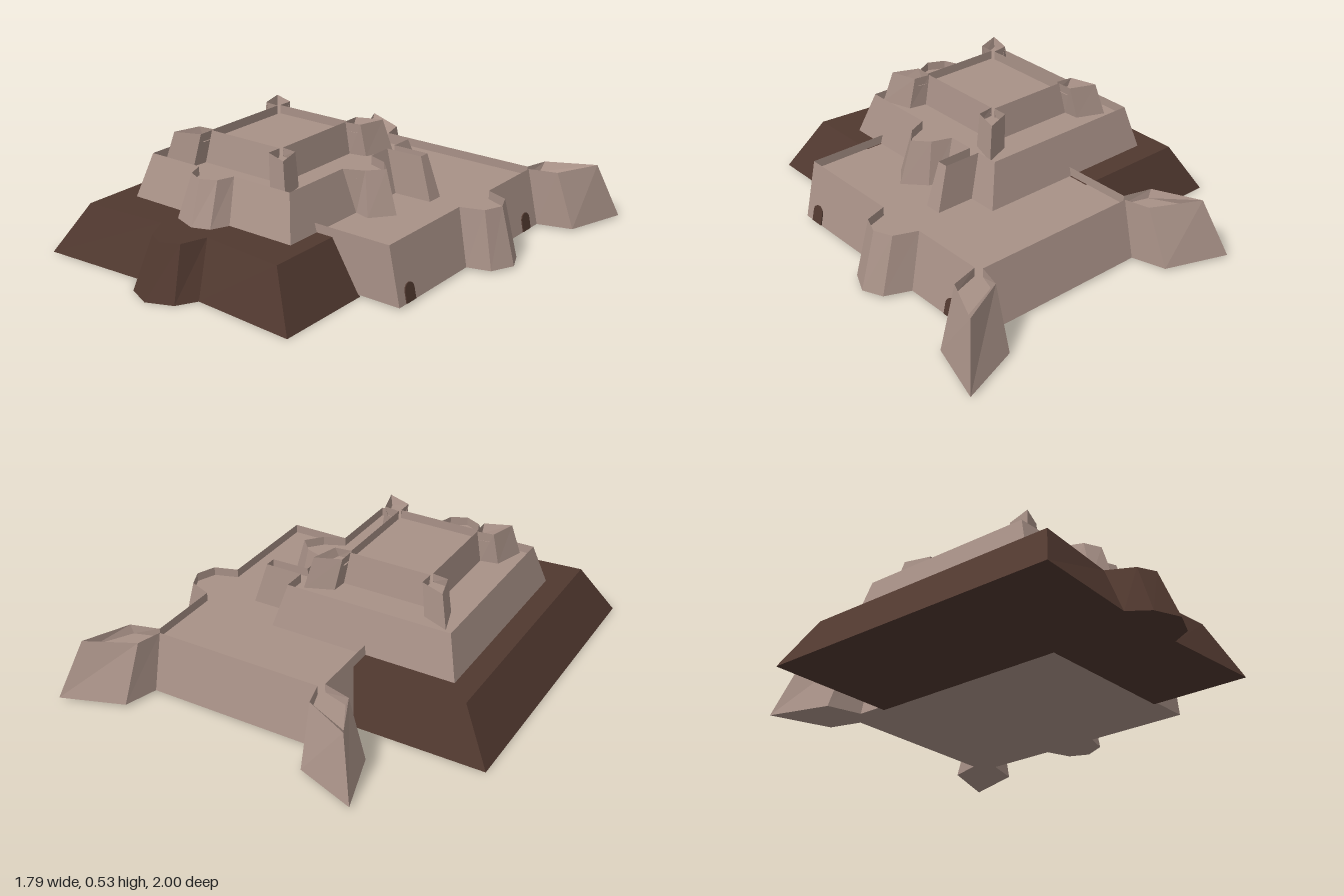
import * as THREE from 'three';

const stone = new THREE.MeshStandardMaterial({ color: 0xa89187 });
stone.name = 'stone';
const earth = new THREE.MeshStandardMaterial({ color: 0x50382f });
earth.name = 'earth';

// Lofts a stack of plan outlines [[x, z], ...] (counterclockwise from above) and caps both ends.
function loft(name, material, rings) {
  const pos = [];
  const put = (ring, i) => pos.push(ring.pts[i][0], ring.y, ring.pts[i][1]);
  for (let r = 0; r < rings.length - 1; r++) {
    const a = rings[r], b = rings[r + 1], n = a.pts.length;
    for (let i = 0; i < n; i++) {
      const j = (i + 1) % n;
      put(a, i); put(a, j); put(b, j);
      put(a, i); put(b, j); put(b, i);
    }
  }
  const cap = (ring, up) => {
    const contour = ring.pts.map(([x, z]) => new THREE.Vector2(x, -z));
    for (const [a, b, c] of THREE.ShapeUtils.triangulateShape(contour, [])) {
      const ccw = THREE.ShapeUtils.area([contour[a], contour[b], contour[c]]) > 0;
      for (const i of ccw === up ? [a, b, c] : [a, c, b]) put(ring, i);
    }
  };
  cap(rings[0], false);
  cap(rings[rings.length - 1], true);
  const geo = new THREE.BufferGeometry();
  geo.setAttribute('position', new THREE.Float32BufferAttribute(pos, 3));
  geo.computeVertexNormals();
  const mesh = new THREE.Mesh(geo, material);
  mesh.name = name;
  return mesh;
}

// Each row is foot x, z, wall-top x, z and optionally floor x, z behind the parapet.
const foot = (rows) => rows.map((p) => [p[0], p[1]]);
const crest = (rows) => rows.map((p) => [p[2], p[3]]);
const floor = (rows) => rows.map((p) => (p.length > 4 ? [p[4], p[5]] : [p[2], p[3]]));
// Mirrors rows about a coordinate (axis 0 = x, 1 = z), reversing them to keep the winding.
const mirror = (rows, axis, c) =>
  rows.map((p) => p.map((v, i) => (i % 2 === axis ? 2 * c - v : v))).reverse();

function rampart(name, rows, y0, y1, yFloor) {
  return loft(name, stone, [
    { pts: foot(rows), y: y0 },
    { pts: crest(rows), y: y1 },
    { pts: floor(rows), y: yFloor },
  ]);
}

function archDoor(x, z, side) {
  const w = 0.032, h = 0.05;
  const s = new THREE.Shape();
  s.moveTo(-w, 0);
  s.lineTo(w, 0);
  s.lineTo(w, h);
  s.absarc(0, h, w, 0, Math.PI, false);
  s.lineTo(-w, 0);
  const door = new THREE.Mesh(
    new THREE.ExtrudeGeometry(s, { depth: 0.005, bevelEnabled: false, curveSegments: 6 }), earth);
  door.rotation.set(-0.208, (side * Math.PI) / 2, 0, 'YXZ');
  door.position.set(x, 0.012, z);
  door.name = 'archDoor';
  return door;
}

export function createModel() {
  const group = new THREE.Group();
  group.name = 'fortress';

  // Earth mound with a front salient, notched where the stone platform sits
  const mound = [
    [-0.9, -0.54, -0.76, -0.45], [-0.9, 0.89, -0.76, 0.78],
    [-0.4, 0.86, -0.36, 0.745], [-0.335, 0.95, -0.3, 0.86],
    [-0.22, 1.0, -0.22, 0.9], [-0.1, 0.95, -0.14, 0.86],
    [-0.05, 0.86, -0.1, 0.745], [0.44, 0.89, 0.3, 0.78],
    [0.44, 0.425, 0.3, 0.425], [-0.275, 0.425, -0.23, 0.425],
    [-0.275, -0.54, -0.23, -0.45],
  ];
  group.add(loft('earthMound', earth, [
    { pts: foot(mound), y: 0 }, { pts: crest(mound), y: 0.23 },
  ]));

  // Lower platform with two arrow bastions at the back and a round one on the side
  const arrow = [
    [0.64, -0.67, 0.585, -0.665],
    [0.8, -0.715, 0.715, -0.7, 0.7, -0.7],
    [0.89, -1.0, 0.81, -0.905, 0.785, -0.85],
    [0.61, -0.9, 0.595, -0.8, 0.59, -0.765],
    [0.565, -0.75, 0.565, -0.69],
  ];
  group.add(rampart('lowerPlatform', [
    [-0.28, 0.43, -0.23, 0.43], [0.64, 0.43, 0.585, 0.43],
    [0.64, -0.065, 0.585, -0.08], [0.745, -0.095, 0.69, -0.115],
    [0.795, -0.2, 0.725, -0.2], [0.755, -0.29, 0.69, -0.28],
    [0.64, -0.335, 0.585, -0.32],
    ...arrow,
    ...mirror(arrow, 0, 0.173),
  ], 0.01, 0.27, 0.23));

  // Middle tier with a front bastion, a side bastion and a narrow spur
  group.add(rampart('middleTier', [
    [-0.66, 0.6, -0.61, 0.535],
    [-0.375, 0.6, -0.335, 0.535], [-0.34, 0.67, -0.305, 0.61],
    [-0.225, 0.71, -0.23, 0.645], [-0.145, 0.68, -0.16, 0.61],
    [-0.11, 0.6, -0.135, 0.535],
    [0.22, 0.6, 0.165, 0.535],
    [0.22, 0.16, 0.165, 0.185], [0.295, 0.18, 0.255, 0.145],
    [0.375, 0.08, 0.315, 0.075], [0.29, -0.01, 0.255, 0.01],
    [0.22, -0.035, 0.165, -0.02],
    [0.22, -0.13, 0.165, -0.14], [0.4, -0.135, 0.34, -0.145],
    [0.4, -0.215, 0.34, -0.195], [0.22, -0.215, 0.165, -0.195],
    [0.22, -0.35, 0.165, -0.3],
    [-0.66, -0.35, -0.61, -0.3],
  ], 0.228, 0.425, 0.385));

  // Upper tier with four identical arrow bastions
  const frontRight = [
    [0.0, 0.4, -0.02, 0.375],
    [0.005, 0.47, -0.02, 0.445, -0.02, 0.425],
    [0.13, 0.52, 0.095, 0.49, 0.075, 0.465],
    [0.085, 0.38, 0.06, 0.37, 0.045, 0.365],
    [0.005, 0.365, -0.015, 0.36],
  ];
  const right = [...frontRight, ...mirror(frontRight, 1, 0.145)];
  group.add(rampart('upperTier', [...right, ...mirror(right, 0, -0.212)], 0.384, 0.53, 0.49));

  // Arched doors in the platform walls
  group.add(archDoor(0.64, 0.35, 1), archDoor(0.64, -0.575, 1), archDoor(-0.28, -0.585, -1));
  return group;
}
